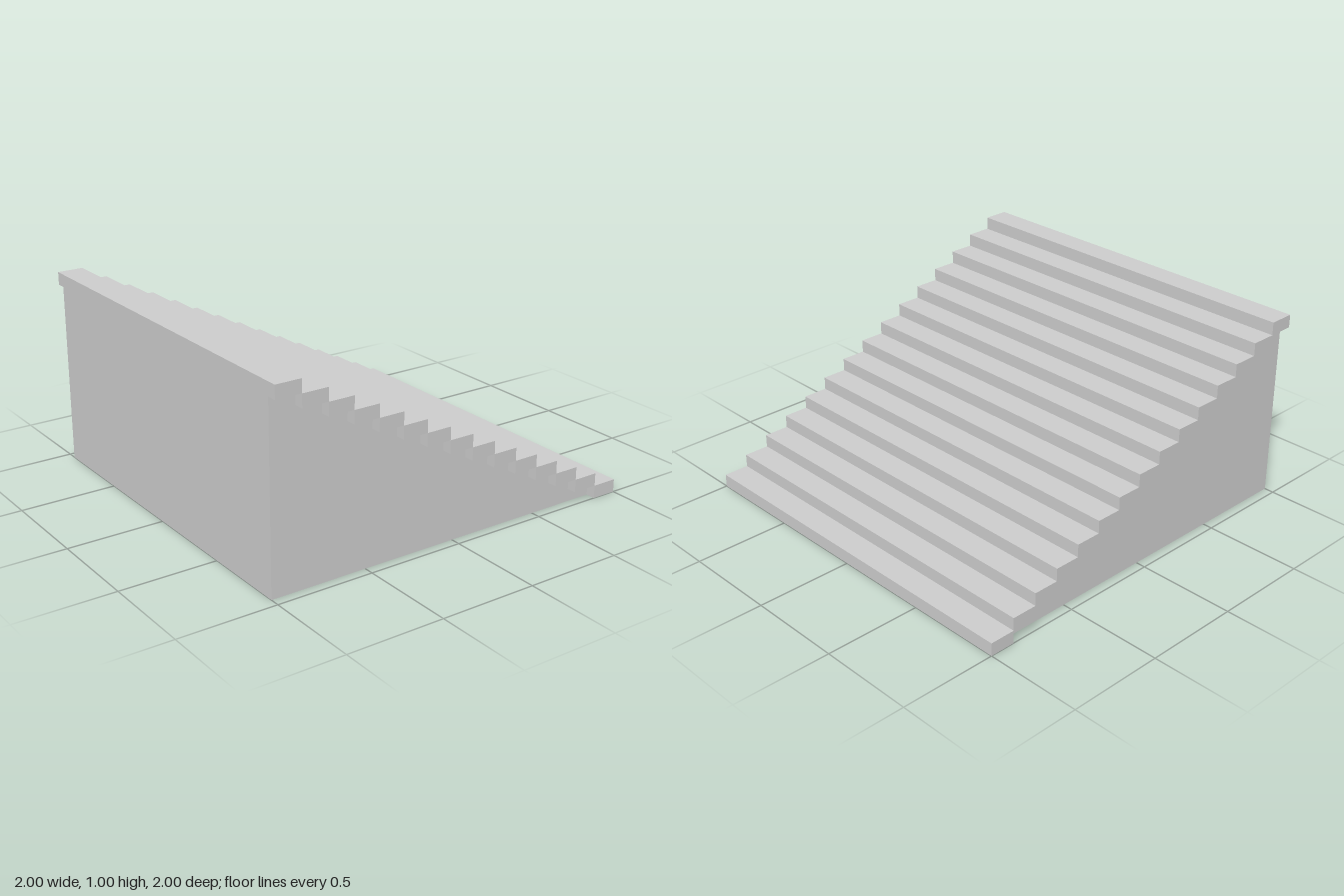
import * as THREE from 'three';

const STEPS = 15;
const RUN = 2 / STEPS;
const RISE = 1 / STEPS;
const TREAD_WIDTH = 2;
const BODY_WIDTH = 1.9;

export function createModel() {
  const group = new THREE.Group();
  group.name = 'staircase';
  const material = new THREE.MeshStandardMaterial({ color: 0xcccccc, flatShading: true });

  // Solid stepped body carrying the treads, drawn as a side profile (z, y)
  const profile = new THREE.Shape();
  profile.moveTo(-1 + RUN, 0);
  profile.lineTo(1, 0);
  profile.lineTo(1, 1 - RISE);
  for (let i = STEPS - 1; i >= 1; i--) {
    profile.lineTo(-1 + i * RUN, i * RISE);
    if (i > 1) profile.lineTo(-1 + i * RUN, (i - 1) * RISE);
  }
  const bodyGeometry = new THREE.ExtrudeGeometry(profile, { depth: BODY_WIDTH, bevelEnabled: false });
  bodyGeometry.translate(0, 0, -BODY_WIDTH / 2);
  bodyGeometry.rotateY(-Math.PI / 2);
  const body = new THREE.Mesh(bodyGeometry, material);
  body.name = 'body';
  group.add(body);

  // Treads, overhanging the body on both sides and rising towards the front
  const treadGeometry = new THREE.BoxGeometry(TREAD_WIDTH, RISE, RUN);
  for (let i = 0; i < STEPS; i++) {
    const tread = new THREE.Mesh(treadGeometry, material);
    tread.name = `tread${i + 1}`;
    tread.position.set(0, (i + 0.5) * RISE, -1 + (i + 0.5) * RUN);
    group.add(tread);
  }
  return group;
}
